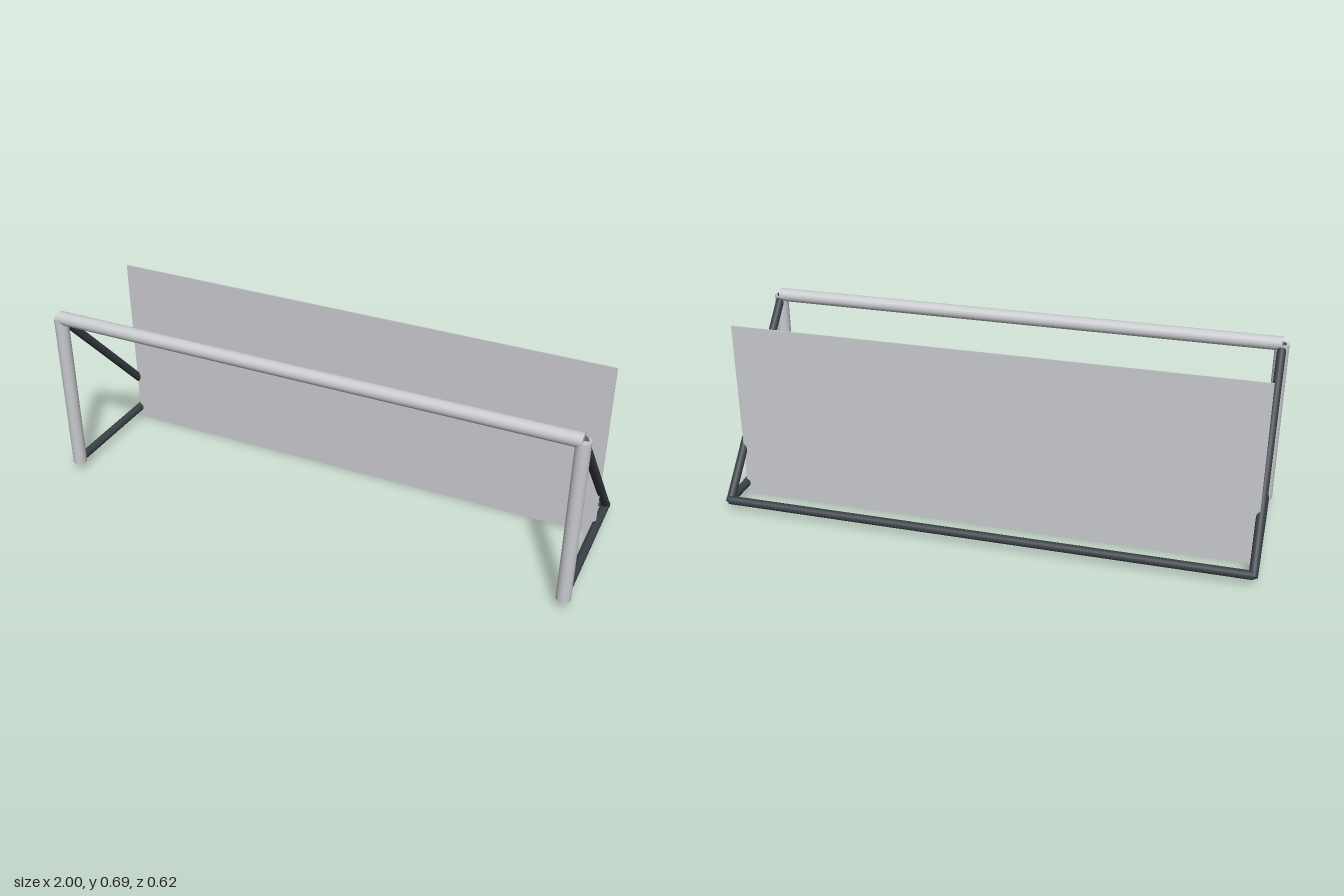
import * as THREE from 'three';

export function createModel() {
  const group = new THREE.Group();
  const lightGrey = new THREE.MeshStandardMaterial({ color: 0xc8c9cd });
  lightGrey.name = 'lightGrey';
  const charcoal = new THREE.MeshStandardMaterial({ color: 0x3a4147 });
  charcoal.name = 'charcoal';

  // Round bar running between two points
  function bar(name, from, to, radius, material) {
    const a = new THREE.Vector3(...from), b = new THREE.Vector3(...to);
    const dir = b.clone().sub(a);
    const mesh = new THREE.Mesh(new THREE.CylinderGeometry(radius, radius, dir.length(), 20), material);
    mesh.position.copy(a).add(b).multiplyScalar(0.5);
    mesh.quaternion.setFromUnitVectors(new THREE.Vector3(0, 1, 0), dir.normalize());
    mesh.name = name;
    group.add(mesh);
  }

  const X = 0.974, FRONT = 0.285, BACK = -0.292, LOW = 0.044, TOP = 0.664;
  const THICK = 0.0257, THIN = 0.016;

  // Front frame
  bar('crossbar', [-X, TOP, FRONT], [X, TOP, FRONT], THICK, lightGrey);

  // Posts, ground bars and sloping braces, one set per side
  for (const [side, x] of [['left', X], ['right', -X]]) {
    bar(side + 'Post', [x, 0.034, FRONT], [x, TOP, FRONT], THICK, lightGrey);
    bar(side + 'GroundBar', [x, LOW, FRONT], [x, LOW, BACK], THIN, charcoal);
    bar(side + 'Brace', [x, TOP, FRONT + 0.001], [x, 0.036, BACK], THIN, charcoal);
  }

  // Rear ground bar
  bar('rearBar', [-X, LOW, BACK], [X, LOW, BACK], THIN, charcoal);

  // Thin upright panel
  const panel = new THREE.Mesh(new THREE.BoxGeometry(1.942, 0.695, 0.004), lightGrey);
  panel.position.set(0, 0.3475, -0.149);
  panel.name = 'netPanel';
  group.add(panel);

  return group;
}
